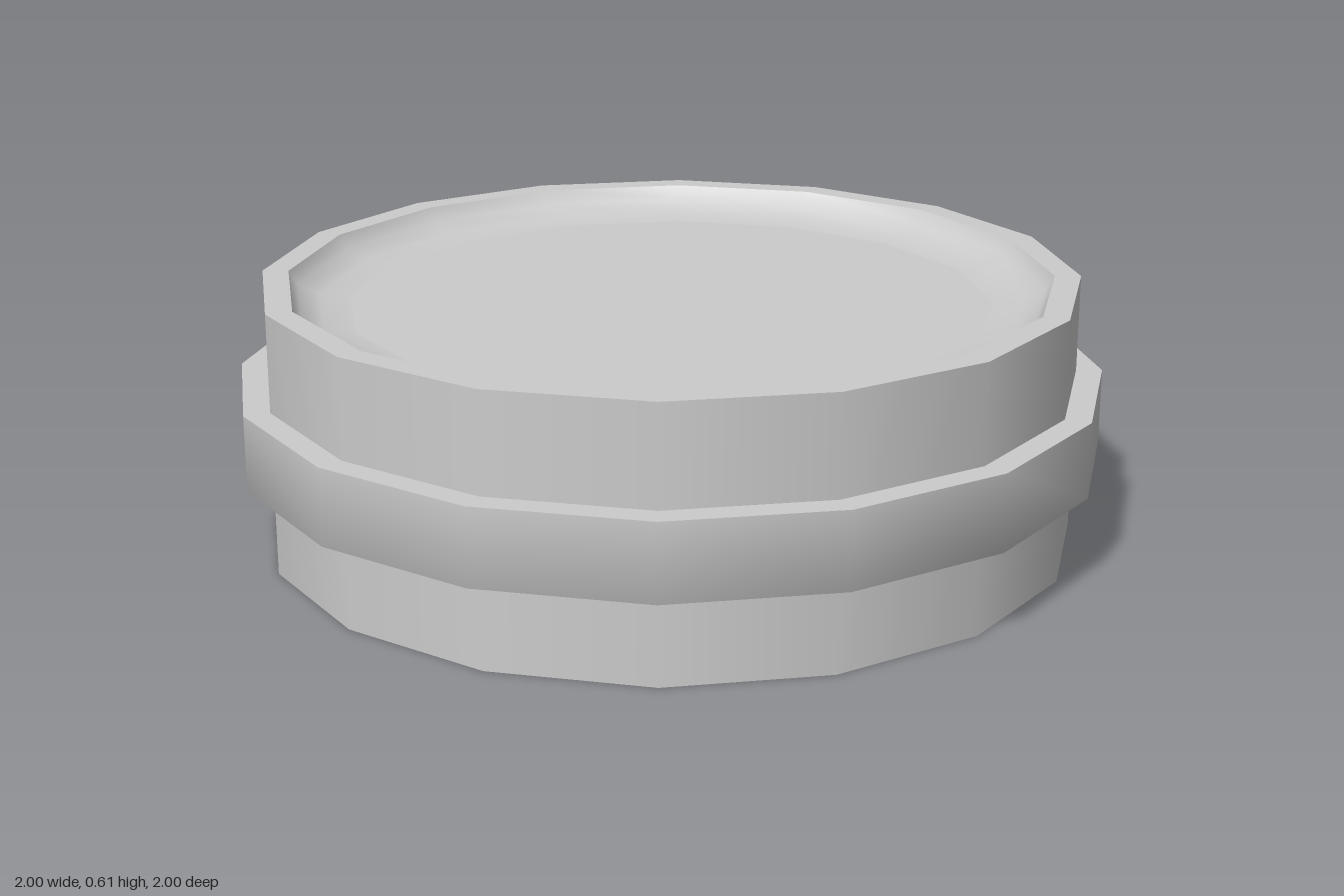
import * as THREE from 'three';

const SIDES = 16;
const BODY_R = 0.94, BODY_TOP = 0.605;
const RIM_R = 0.88;
const BAND_BOTTOM = 0.205, BAND_TOP = 0.38;

export function createModel() {
  const model = new THREE.Group();
  const material = new THREE.MeshStandardMaterial({ color: 0xcccccc });

  // One smooth surface of revolution; separate surfaces meet in sharp edges
  function addTurned(parent, name, profile) {
    const points = profile.map(([r, y]) => new THREE.Vector2(r, y));
    const mesh = new THREE.Mesh(new THREE.LatheGeometry(points, SIDES), material);
    mesh.name = name;
    parent.add(mesh);
  }

  // Drum with a shallow dished top
  const body = new THREE.Group();
  body.name = 'body';
  addTurned(body, 'base', [[0, 0], [BODY_R, 0]]);
  addTurned(body, 'wall', [[BODY_R, 0], [BODY_R, BODY_TOP]]);
  addTurned(body, 'rim', [[BODY_R, BODY_TOP], [RIM_R, BODY_TOP]]);
  addTurned(body, 'dishCurve', [
    [RIM_R, BODY_TOP], [0.86, 0.572], [0.81, 0.549], [0.74, 0.543],
  ]);
  addTurned(body, 'dishFloor', [[0.74, 0.543], [0, 0.543]]);

  // Raised band: underside blends into the side, top edge is sharp
  const band = new THREE.Group();
  band.name = 'band';
  addTurned(band, 'bandSide', [[BODY_R, BAND_BOTTOM], [1, BAND_BOTTOM], [1, BAND_TOP]]);
  addTurned(band, 'bandTop', [[1, BAND_TOP], [BODY_R, BAND_TOP]]);

  model.add(body, band);
  return model;
}
